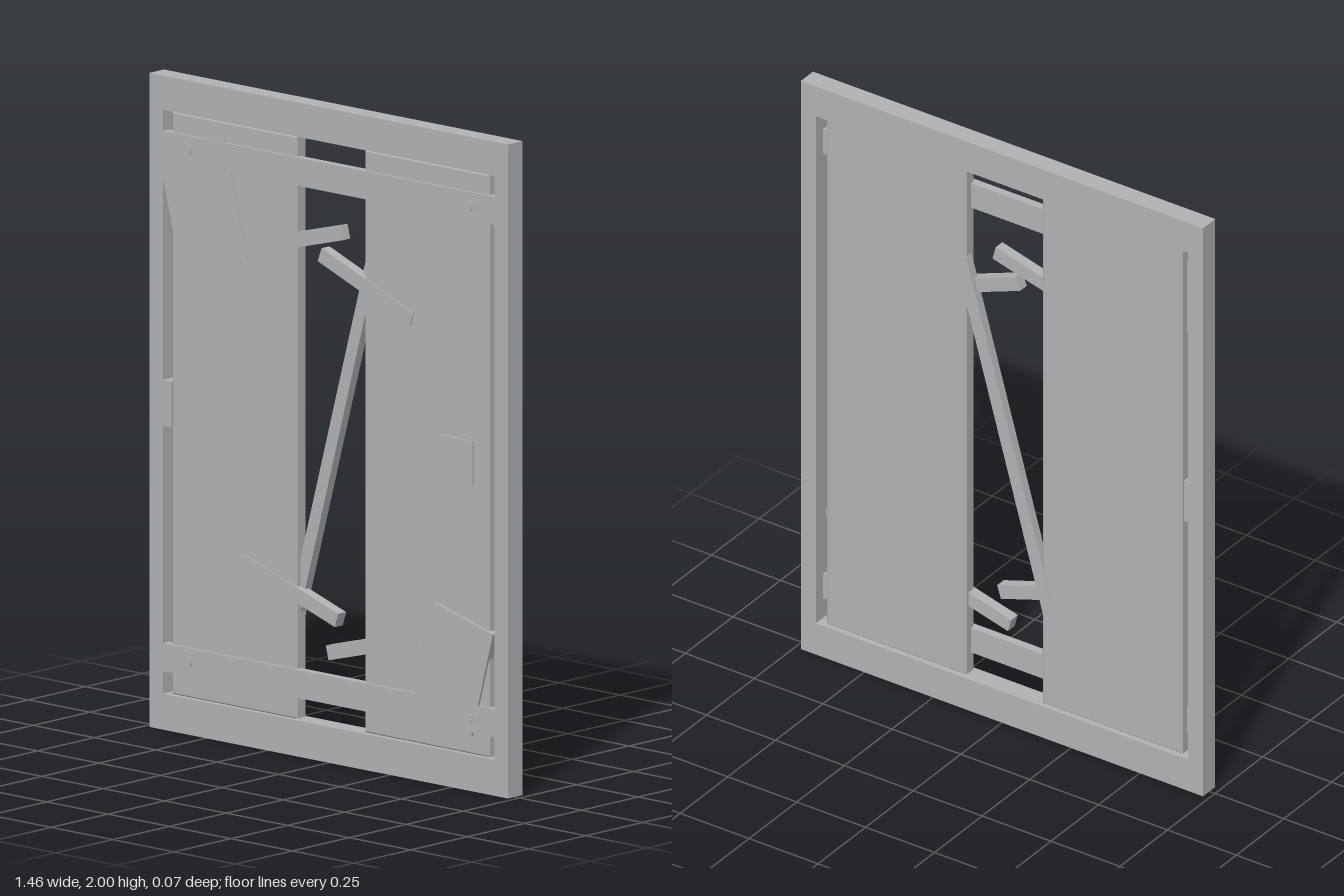
import * as THREE from 'three';

export function createModel() {
  const model = new THREE.Group();
  const grey = new THREE.MeshStandardMaterial({ color: 0xb2b2b2 });
  grey.name = 'grey';

  function add(name, geometry, x = 0, y = 0, z = 0, degrees = 0) {
    const mesh = new THREE.Mesh(geometry, grey);
    mesh.name = name;
    mesh.position.set(x, y, z);
    mesh.rotation.z = THREE.MathUtils.degToRad(degrees);
    model.add(mesh);
    return mesh;
  }

  // Box given by its centre, size and z range, turned in the plane of the door
  function slab(name, x, y, w, h, back, front, degrees = 0) {
    return add(name, new THREE.BoxGeometry(w, h, front - back), x, y, (front + back) / 2, degrees);
  }

  function rectangle(Type, x0, y0, x1, y1) {
    const path = new Type();
    path.moveTo(x0, y0);
    path.lineTo(x1, y0);
    path.lineTo(x1, y1);
    path.lineTo(x0, y1);
    path.closePath();
    return path;
  }

  // Outer frame
  const outline = rectangle(THREE.Shape, -0.73, 0, 0.73, 2);
  outline.holes.push(rectangle(THREE.Path, -0.675, 0.11, 0.675, 1.895));
  add('frame', new THREE.ExtrudeGeometry(outline, { depth: 0.064, bevelEnabled: false }), 0, 0, -0.034);

  // Two tall panels with finely bevelled edges
  const bevel = 0.004;
  for (const side of [-1, 1]) {
    const panel = rectangle(THREE.Shape, -0.2535 + bevel, 0.112 + bevel, 0.2535 - bevel, 1.893 - bevel);
    const geometry = new THREE.ExtrudeGeometry(panel, {
      depth: 0.044 - 2 * bevel, bevelThickness: bevel, bevelSize: bevel, bevelSegments: 1,
    });
    add(side < 0 ? 'rightPanel' : 'leftPanel', geometry, side * 0.392, 0, -0.022 + bevel);
  }

  // Cross rails, each with a small bolt near both ends
  for (const y of [0.222, 1.788]) {
    slab('rail', 0, y, 1.37, 0.086, 0.004, 0.03);
    for (const x of [-0.572, 0.572]) {
      const bolt = new THREE.CylinderGeometry(0.015, 0.015, 0.008, 12).rotateX(Math.PI / 2);
      add('bolt', bolt, x, y, 0.03);
    }
  }

  // Tilted corner plates
  slab('upperCornerPlate', -0.516, 1.631, 0.28, 0.38, 0.004, 0.0295, 15);
  slab('lowerCornerPlate', 0.503, 0.362, 0.25, 0.335, 0.004, 0.0295, -15);

  // Long diagonal brace across the gap
  slab('longBrace', -0.004, 1.0, 0.043, 1.2, -0.0235, 0.005, -15.6);

  // Short loose struts: centre x, centre y, angle
  for (const [x, y, angle] of [
    [-0.148, 1.574, 15], [0.145, 1.475, -21],
    [-0.163, 0.5, -18], [0.182, 0.385, 15],
  ]) {
    slab('strut', x, y, 0.4, 0.045, -0.01, 0.025, angle);
  }

  // Handle plate and hinge block
  slab('handlePlate', 0.517, 1.003, 0.135, 0.135, 0.01, 0.03);
  slab('hingeBlock', -0.67, 1.0, 0.06, 0.14, -0.012, 0.03);

  return model;
}
